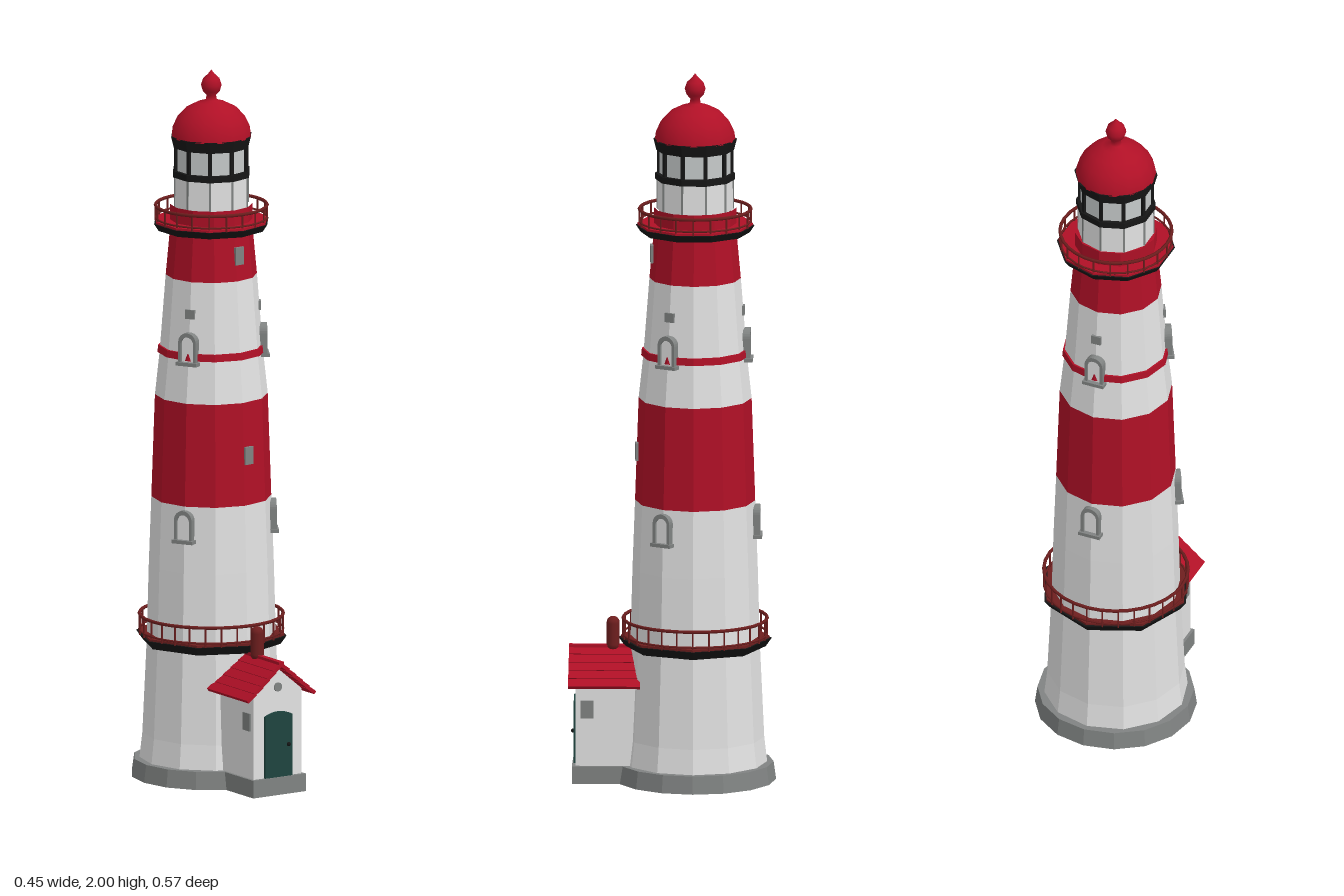
import * as THREE from 'three';

const mat = (name, color) => {
  const m = new THREE.MeshStandardMaterial({ color });
  m.name = name;
  return m;
};
const TOWER_Z = -0.06;
const SIDES = 12;

// tower outline: [height, radius]
const OUTLINE = [[0.05, 0.2], [0.12, 0.192], [0.38, 0.18], [0.6, 0.174], [0.79, 0.167],
  [1.08, 0.157], [1.2, 0.144], [1.42, 0.127], [1.55, 0.115], [1.62, 0.115]];

function radiusAt(y) {
  for (let i = 1; i < OUTLINE.length; i++) {
    const [y0, r0] = OUTLINE[i - 1], [y1, r1] = OUTLINE[i];
    if (y <= y1) return r0 + (r1 - r0) * (y - y0) / (y1 - y0);
  }
  return 0.115;
}

// faceted normals
function flat(geo) {
  const g = geo.index ? geo.toNonIndexed() : geo;
  g.computeVertexNormals();
  return g;
}

export function createModel() {
  const red = mat('red paint', 0xb01026);
  const white = mat('white paint', 0xe2e2e2);
  const stone = mat('grey stone', 0x808382);
  const black = mat('black iron', 0x161616);
  const darkRed = mat('dark red rail', 0x6e1e1e);
  const green = mat('green door', 0x1f443f);
  const glass = mat('pale glass', 0xc6caca);

  const model = new THREE.Group();
  model.name = 'lighthouse';
  const tower = new THREE.Group();
  tower.name = 'tower';
  tower.position.z = TOWER_Z;
  model.add(tower);

  const add = (parent, name, geo, material, x = 0, y = 0, z = 0) => {
    const m = new THREE.Mesh(geo, material);
    m.name = name;
    m.position.set(x, y, z);
    parent.add(m);
    return m;
  };
  const ring = (name, y0, y1, rBottom, rTop, material, sides = SIDES) =>
    add(tower, name, flat(new THREE.CylinderGeometry(rTop, rBottom, y1 - y0, sides)), material, 0, (y0 + y1) / 2);

  // stone plinth
  ring('plinth', 0, 0.05, 0.225, 0.218, stone, 16);

  // painted wall bands following the outline
  const band = (name, y0, y1, material) => {
    const pts = [[y0, radiusAt(y0)], ...OUTLINE.filter(([y]) => y > y0 && y < y1), [y1, radiusAt(y1)]];
    add(tower, name, flat(new THREE.LatheGeometry(pts.map(([y, r]) => new THREE.Vector2(r, y)), SIDES)), material);
  };
  band('lowerWhiteBand', 0.05, 0.79, white);
  band('lowerRedBand', 0.79, 1.08, red);
  band('upperWhiteBand', 1.08, 1.42, white);
  band('upperRedBand', 1.42, 1.62, red);
  ring('thinRedRing', 1.2, 1.22, 0.15, 0.148, red);

  // galleries: deck, floor, posts and rails
  function gallery(name, y, r, deckH, floorMat, railTop, posts, sides) {
    const g = new THREE.Group();
    g.name = name;
    tower.add(g);
    add(g, 'deck', flat(new THREE.CylinderGeometry(r, r * 0.92, deckH, sides)), black, 0, y - deckH / 2);
    add(g, 'deckFloor', flat(new THREE.CylinderGeometry(r * 0.97, r * 0.97, 0.006, sides)), floorMat, 0, y + 0.003);
    const railR = r * 0.94;
    for (let i = 0; i < posts; i++) {
      const a = i / posts * Math.PI * 2;
      add(g, 'railPost', new THREE.CylinderGeometry(0.0028, 0.0028, railTop - y, 5), darkRed,
        Math.sin(a) * railR, (y + railTop) / 2, Math.cos(a) * railR);
    }
    for (const [h, t] of [[railTop - 0.004, 0.005], [y + 0.012, 0.003]]) {
      add(g, 'rail', new THREE.TorusGeometry(railR, t, 5, 32), darkRed, 0, h).rotation.x = Math.PI / 2;
    }
  }
  gallery('lowerGallery', 0.4, 0.213, 0.024, darkRed, 0.46, 28, 8);
  gallery('upperGallery', 1.57, 0.165, 0.02, red, 1.62, 20, 10);

  // lantern room
  const L = 10;
  ring('lanternBase', 1.615, 1.705, 0.106, 0.105, white, L);
  ring('lanternGlass', 1.7, 1.8, 0.1, 0.1, glass, L);
  ring('lanternSill', 1.7, 1.718, 0.111, 0.111, black, L);
  ring('lanternTopFrame', 1.783, 1.815, 0.108, 0.116, black, L);
  for (let i = 0; i < L; i++) {
    const a = i / L * Math.PI * 2;
    add(tower, 'lanternPost', new THREE.BoxGeometry(0.01, 0.08, 0.01), black,
      Math.sin(a) * 0.101, 1.75, Math.cos(a) * 0.101).rotation.y = a;
    add(tower, 'baseSeam', new THREE.BoxGeometry(0.005, 0.085, 0.005), stone,
      Math.sin(a) * 0.105, 1.66, Math.cos(a) * 0.105).rotation.y = a;
  }

  // dome and finial
  const domePts = [[0.112, 1.812], [0.109, 1.835], [0.095, 1.865], [0.07, 1.892], [0.038, 1.908], [0.016, 1.914],
    [0.013, 1.928], [0.024, 1.94], [0.029, 1.957], [0.023, 1.975], [0.01, 1.987], [0, 2]];
  add(tower, 'domeAndFinial', new THREE.LatheGeometry(domePts.map(([r, y]) => new THREE.Vector2(r, y)), 16), red);

  // arched windows
  const arch = (path, w, h) => path.moveTo(-w, 0).lineTo(w, 0).lineTo(w, h).absarc(0, h, w, 0, Math.PI, false).lineTo(-w, 0);
  const frameShape = new THREE.Shape();
  arch(frameShape, 0.027, 0.058);
  const hole = new THREE.Path();
  arch(hole, 0.019, 0.054);
  frameShape.holes.push(hole);
  const frameGeo = new THREE.ExtrudeGeometry(frameShape, { depth: 0.03, bevelEnabled: false, curveSegments: 6 });
  const paneShape = new THREE.Shape();
  arch(paneShape, 0.021, 0.055);
  const paneGeo = new THREE.ShapeGeometry(paneShape, 6);
  const onWall = (name, angle, y) => {
    const g = new THREE.Group();
    g.name = name;
    const r = radiusAt(y);
    g.position.set(Math.sin(angle) * r, y, Math.cos(angle) * r);
    g.rotation.y = angle;
    tower.add(g);
    return g;
  };
  for (const deg of [60, 180, 300]) {
    const a = deg * Math.PI / 180;
    for (const y of [0.695, 1.195]) {
      const w = onWall('archedWindow', a, y);
      add(w, 'windowFrame', frameGeo, stone, 0, 0, -0.02);
      add(w, 'windowPane', paneGeo, white, 0, 0, 0.003);
      add(w, 'windowSill', new THREE.BoxGeometry(0.064, 0.01, 0.03), stone, 0, -0.003, 0.001);
    }
    add(onWall('smallVent', a, 1.33), 'ventPlate', new THREE.BoxGeometry(0.028, 0.026, 0.008), stone);
  }
  for (const y of [0.93, 1.49])
    add(onWall('frontVent', 0.1, y), 'ventPlate', new THREE.BoxGeometry(0.03, 0.05, 0.008), stone);

  // entrance house
  const house = new THREE.Group();
  house.name = 'entranceHouse';
  model.add(house);
  add(house, 'housePlinth', new THREE.BoxGeometry(0.176, 0.05, 0.2), stone, 0, 0.025, 0.18);
  const wall = new THREE.Shape();
  wall.moveTo(-0.08, 0.05).lineTo(0.08, 0.05).lineTo(0.08, 0.292).lineTo(0, 0.358).lineTo(-0.08, 0.292);
  add(house, 'houseWalls', new THREE.ExtrudeGeometry(wall, { depth: 0.19, bevelEnabled: false }), white, 0, 0, 0.08);

  // roof of overlapping boards
  const slope = Math.atan2(0.095, 0.112);
  for (const s of [-1, 1]) {
    for (let i = 0; i < 5; i++) {
      const t = (i + 0.5) / 5;
      add(house, 'roofBoard', new THREE.BoxGeometry(0.034, 0.01, 0.2), red,
        s * 0.11 * t, 0.372 - 0.093 * t, 0.19).rotation.z = -s * (slope - 0.08);
    }
  }
  add(house, 'roofRidge', new THREE.BoxGeometry(0.016, 0.012, 0.2), red, 0, 0.373, 0.19);
  add(house, 'ridgePost', new THREE.CapsuleGeometry(0.019, 0.06, 4, 10), darkRed, 0, 0.41, 0.168);

  // door, gable vent and side vents
  const door = new THREE.Shape();
  door.moveTo(-0.045, 0.05).lineTo(0.045, 0.05).lineTo(0.045, 0.225).quadraticCurveTo(0, 0.247, -0.045, 0.225);
  add(house, 'door', new THREE.ExtrudeGeometry(door, { depth: 0.006, bevelEnabled: false }), green, 0, 0, 0.27);
  add(house, 'doorKnob', new THREE.SphereGeometry(0.006, 8, 6), black, 0.032, 0.14, 0.278);
  add(house, 'gableVent', new THREE.CylinderGeometry(0.013, 0.013, 0.006, 10), stone, 0, 0.305, 0.271).rotation.x = Math.PI / 2;
  for (const s of [-1, 1])
    add(house, 'sideVent', new THREE.BoxGeometry(0.006, 0.05, 0.035), stone, s * 0.081, 0.21, 0.238);

  return model;
}
